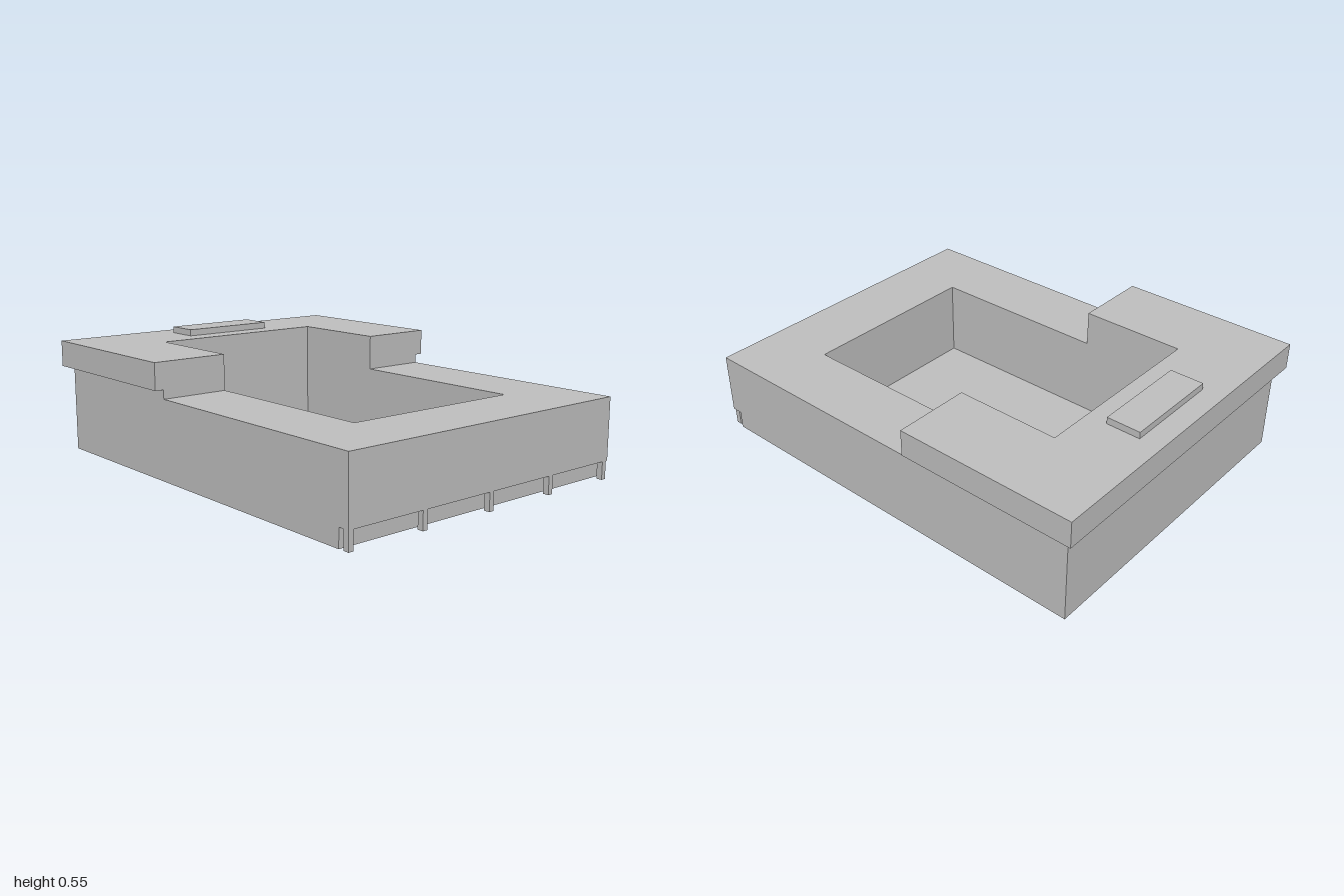
import * as THREE from 'three';

export function createModel() {
  const model = new THREE.Group();
  const grey = new THREE.MeshStandardMaterial({ color: 0xc0c0c0, side: THREE.DoubleSide });
  grey.name = 'plain grey';

  // Main dimensions
  const W = 0.74, P = 0.43;                 // half widths of body and pit
  const BACK = -0.96, STEP = -0.17, FRONT = 1;
  const PIT_BACK = -0.65, PIT_FRONT = 0.68, KICK = 0.95;
  const LOW = 0.36, HIGH = 0.4, TOP = 0.52, TOE = 0.08;

  const add = (name, geometry, x = 0, y = 0, z = 0) => {
    const mesh = new THREE.Mesh(geometry, grey);
    mesh.name = name;
    mesh.position.set(x, y, z);
    model.add(mesh);
    return mesh;
  };
  const shape = (pts) => new THREE.Shape(pts.map(([a, b]) => new THREE.Vector2(a, b)));

  // Thin panel facing z
  const wallZ = (name, x0, x1, y0, y1, z) =>
    add(name, new THREE.PlaneGeometry(x1 - x0, y1 - y0), (x0 + x1) / 2, (y0 + y1) / 2, z);
  // Thin panel facing x, outlined by [z, y] points
  const wallX = (name, pts, x) => {
    const g = new THREE.ShapeGeometry(shape(pts)).rotateY(-Math.PI / 2);
    if (x > 0) g.scale(-1, 1, 1).setIndex([...g.index.array].reverse());
    g.computeVertexNormals();
    return add(name, g, x);
  };
  // Level panel, outlined by [x, z] points
  const flat = (name, pts, y) =>
    add(name, new THREE.ShapeGeometry(shape(pts.map(([x, z]) => [x, -z]))).rotateX(-Math.PI / 2), 0, y);
  const box = (name, x0, x1, y0, y1, z0, z1) =>
    add(name, new THREE.BoxGeometry(x1 - x0, y1 - y0, z1 - z0),
      (x0 + x1) / 2, (y0 + y1) / 2, (z0 + z1) / 2);

  // Outer shell, open underneath
  for (const s of [-1, 1]) {
    wallX('sideWall', [[BACK, 0], [KICK, 0], [KICK, TOE], [FRONT, TOE], [FRONT, LOW],
      [STEP, LOW], [STEP, HIGH], [BACK, HIGH]], s * W);
    wallX('pitSideWall', [[BACK, 0], [PIT_FRONT, 0], [PIT_FRONT, LOW],
      [STEP, LOW], [STEP, HIGH], [BACK, HIGH]], s * P);
    wallZ('divider', s > 0 ? P : -W, s > 0 ? W : -P, 0, HIGH, STEP);
  }
  wallZ('backWall', -W, W, 0, HIGH, BACK).rotation.y = Math.PI;
  wallZ('pitBackWall', -P, P, 0, HIGH, PIT_BACK);
  wallZ('pitFrontWall', -W, W, 0, LOW, PIT_FRONT).rotation.y = Math.PI;
  wallZ('frontPanel', -W, W, TOE, LOW, FRONT);
  wallZ('kickBoard', -W, W, 0, TOE, KICK);
  flat('frontUnderside', [[-W, FRONT], [W, FRONT], [W, PIT_FRONT], [-W, PIT_FRONT]], TOE)
    .geometry.rotateX(Math.PI).translate(0, 0, FRONT + PIT_FRONT);
  flat('pitFloor', [[-P, PIT_FRONT], [P, PIT_FRONT], [P, PIT_BACK], [-P, PIT_BACK]], 0);

  // Low U-shaped deck around the front of the pit
  flat('lowerDeck', [[-W, FRONT], [W, FRONT], [W, STEP], [P, STEP], [P, PIT_FRONT],
    [-P, PIT_FRONT], [-P, STEP], [-W, STEP]], LOW);

  // Raised U-shaped slab overhanging the sides and back
  const slab = shape([[-0.78, 1], [-0.78, -STEP], [-P, -STEP], [-P, -PIT_BACK],
    [P, -PIT_BACK], [P, -STEP], [0.78, -STEP], [0.78, 1]]);
  add('upperSlab', new THREE.ExtrudeGeometry(slab, { depth: TOP - HIGH, bevelEnabled: false })
    .rotateX(-Math.PI / 2), 0, HIGH);

  // Raised pad on the slab
  box('topPad', -0.225, 0.225, TOP, 0.55, -0.9, -0.745);

  // Row of small front posts
  for (let i = -2; i <= 2; i++) {
    const x = i * 0.3625 - 0.002 + (i === 0 ? 0.001 : 0);
    const c = i * 0.36 - 0.001;
    box('frontPost', Math.min(x, c) - 0.012, Math.min(x, c) + 0.012, 0, TOE, 0.973, FRONT);
  }

  return model;
}
